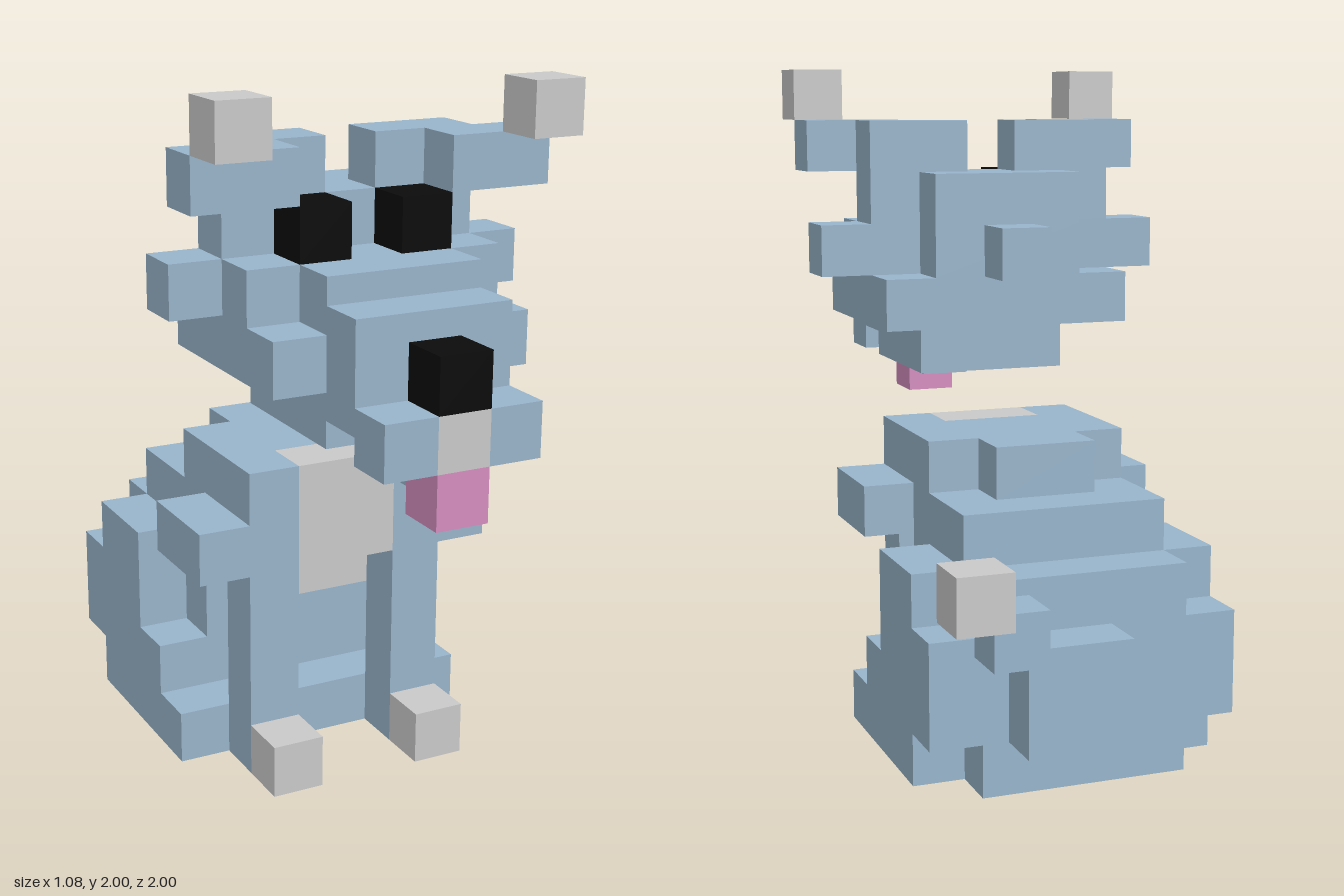
import * as THREE from 'three';

const U = 2 / 13; // one block

export function createModel() {
  const root = new THREE.Group();
  const mat = (color) => new THREE.MeshStandardMaterial({ color, flatShading: true });
  const blue = mat(0x9ab6cc), grey = mat(0xcccccc), black = mat(0x0c0c0c), pink = mat(0xd68fc0);

  const group = (name) => {
    const g = new THREE.Group();
    g.name = name;
    root.add(g);
    return g;
  };

  // Box from ranges given in blocks
  const box = (parent, name, [x0, x1], [y0, y1], [z0, z1], material = blue) => {
    const mesh = new THREE.Mesh(
      new THREE.BoxGeometry((x1 - x0) * U, (y1 - y0) * U, (z1 - z0) * U), material);
    mesh.position.set((x0 + x1) / 2 * U, (y0 + y1) / 2 * U, (z0 + z1) / 2 * U);
    mesh.name = name;
    parent.add(mesh);
  };
  const centred = (parent, name, half, y, z, m) => box(parent, name, [-half, half], y, z, m);
  const pair = (parent, name, [x0, x1], y, z, m) => {
    box(parent, name + 'Left', [x0, x1], y, z, m);
    box(parent, name + 'Right', [-x1, -x0], y, z, m);
  };

  // Sitting body
  const body = group('body');
  centred(body, 'rump', 2, [0, 4], [-3.5, 0.5]);
  centred(body, 'feetBase', 3, [0, 1], [0.5, 1.5]);
  centred(body, 'back', 2, [4, 5], [-2.5, 1.5]);
  centred(body, 'upperBack', 2, [5, 6], [-0.5, 1.5]);
  centred(body, 'backHump', 1, [5, 6], [-1.5, -0.5]);
  centred(body, 'chest', 1, [4, 6], [1.5, 2.5], grey);
  centred(body, 'belly', 1, [3, 4], [0.5, 1.5], grey);

  // Legs
  const legs = group('legs');
  pair(legs, 'frontLeg', [1, 2], [0, 6], [1.5, 2.5]);
  pair(legs, 'frontPaw', [1, 2], [0, 1], [2.5, 3.5], grey);
  pair(legs, 'shoulder', [2, 3], [4, 5], [0.5, 2.5]);
  pair(legs, 'thigh', [2, 3], [0, 4], [-2.5, -0.5]);
  pair(legs, 'thighBack', [2, 3], [1, 3], [-3.5, -2.5]);
  pair(legs, 'knee', [2, 3], [0, 2], [-0.5, 0.5]);

  // Tail, swinging to the left
  const tail = group('tail');
  box(tail, 'tailBase', [-0.5, 1.5], [1, 3], [-4.5, -3.5]);
  box(tail, 'tailMiddle', [1.5, 2.5], [3, 4], [-5.5, -4.5]);
  box(tail, 'tailTip', [2.5, 3.5], [4, 5], [-6.5, -5.5], grey);

  // Head
  const head = group('head');
  centred(head, 'throat', 1.5, [7, 8], [1.5, 4.5]);
  centred(head, 'cheeks', 2.5, [8, 9], [0.5, 4.5]);
  centred(head, 'face', 1.5, [9, 10], [0.5, 4.5]);
  pair(head, 'temple', [1.5, 2.5], [9, 10], [1.5, 3.5]);
  pair(head, 'cheekTuft', [2.5, 3.5], [9, 10], [1.5, 2.5]);
  centred(head, 'napeTuft', 0.5, [9, 10], [-0.5, 0.5]);
  centred(head, 'brow', 2.5, [10, 11], [1.5, 2.5]);
  centred(head, 'crown', 1.5, [10, 11], [0.5, 1.5]);
  pair(head, 'eye', [0.5, 1.5], [10, 11], [2.5, 3.5], black);

  // Ears
  const ears = group('ears');
  pair(ears, 'earBase', [0.5, 2.5], [11, 12], [1.5, 2.5]);
  pair(ears, 'earFold', [1.5, 3.5], [11, 12], [2.5, 3.5]);
  pair(ears, 'earTip', [2.5, 3.5], [12, 13], [3.5, 4.5], grey);

  // Muzzle
  const muzzle = group('muzzle');
  centred(muzzle, 'snout', 1.5, [7.5, 9.5], [4.5, 5.5]);
  centred(muzzle, 'lowerJaw', 0.5, [6.5, 7.5], [4.5, 5.5]);
  pair(muzzle, 'lip', [0.5, 1.5], [7, 8], [5.5, 6.5]);
  centred(muzzle, 'mouth', 0.5, [7, 8], [5.5, 6.5], grey);
  centred(muzzle, 'nose', 0.5, [8, 9], [5.5, 6.5], black);
  centred(muzzle, 'tongue', 0.5, [6, 7], [5.5, 6.5], pink);

  return root;
}
